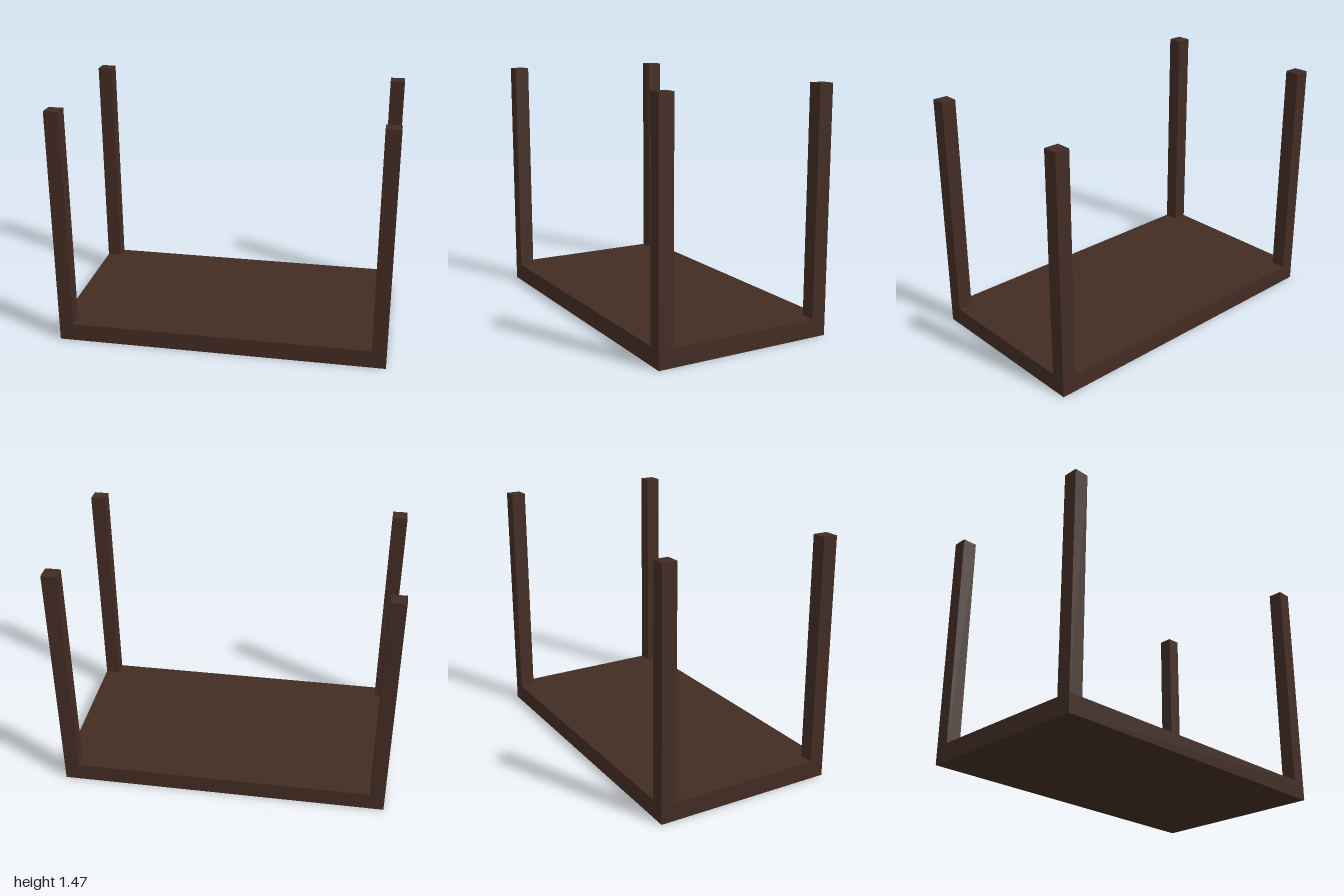
import * as THREE from 'three';

export function createModel() {
  const width = 2, depth = 1.11, slab = 0.11, height = 1.465, post = 0.089;
  const darkWood = new THREE.MeshStandardMaterial({ color: 0x422c23 });
  darkWood.name = 'darkWood';

  const model = new THREE.Group();
  model.name = 'upturnedTable';

  // Flat top lying on the ground
  const top = new THREE.Mesh(new THREE.BoxGeometry(width, slab, depth), darkWood);
  top.name = 'tableTop';
  top.position.y = slab / 2;
  model.add(top);

  // Four square legs standing up from the corners
  const legHeight = height - slab;
  const legGeometry = new THREE.BoxGeometry(post, legHeight, post);
  for (const [sx, side] of [[1, 'Left'], [-1, 'Right']]) {
    for (const [sz, end] of [[1, 'front'], [-1, 'back']]) {
      const leg = new THREE.Mesh(legGeometry, darkWood);
      leg.name = `${end}${side}Leg`;
      leg.position.set(sx * (width - post) / 2, slab + legHeight / 2, sz * (depth - post) / 2);
      model.add(leg);
    }
  }
  return model;
}
